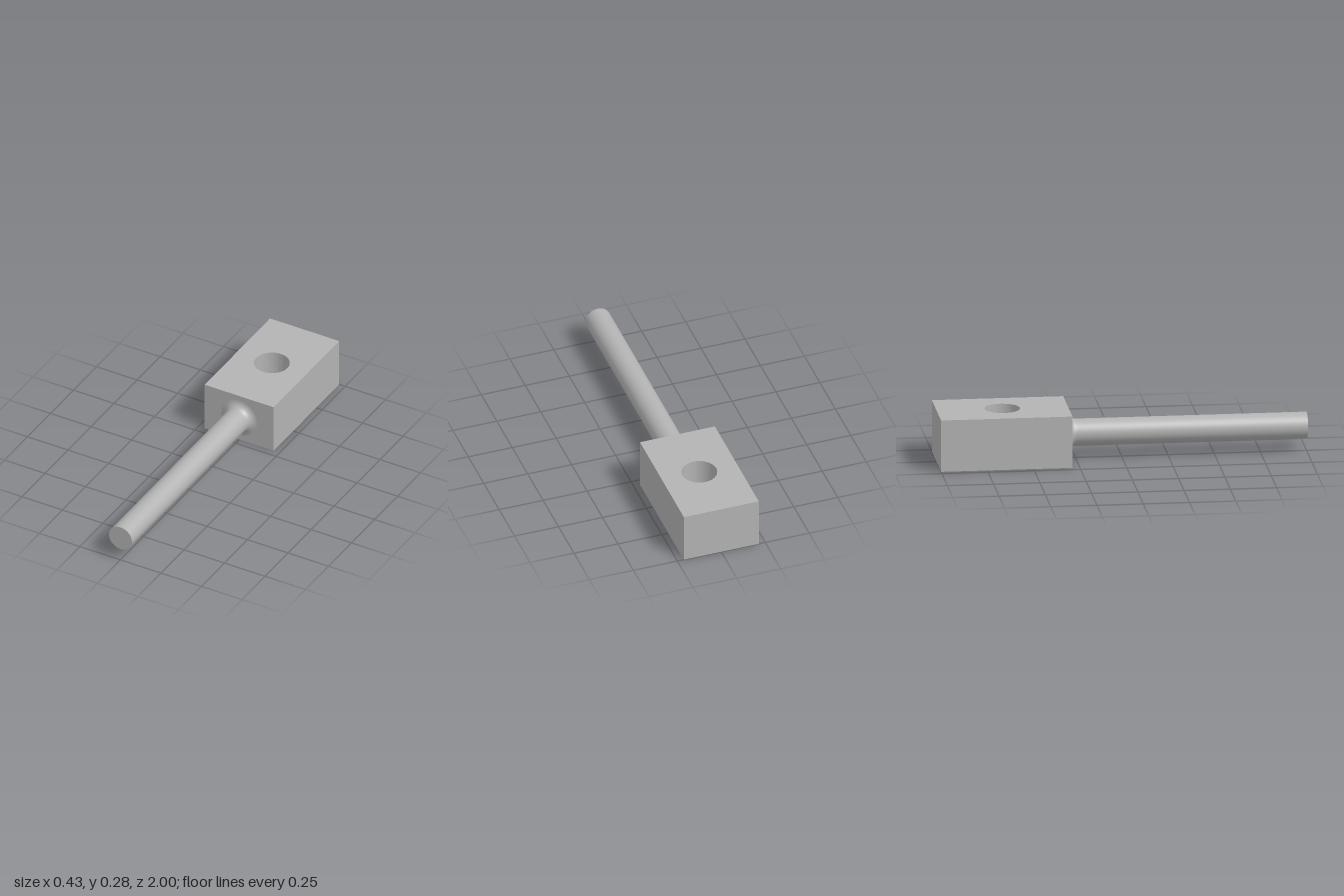
import * as THREE from 'three';
import { toCreasedNormals } from 'three/addons/utils/BufferGeometryUtils.js';

const HALF_WIDTH = 0.213, HEIGHT = 0.285;
const BACK = -1, SHOULDER = -0.29, TIP = 1;
const ROD_RADIUS = 0.071, FILLET = 0.043, HOLE_RADIUS = 0.096;

export function createModel() {
  const model = new THREE.Group();
  model.name = 'rodEnd';
  const steel = new THREE.MeshStandardMaterial({ color: 0xb3b3b3 });
  steel.name = 'grey steel';

  const add = (name, geometry, parent = model) => {
    const mesh = new THREE.Mesh(geometry, steel);
    mesh.name = name;
    parent.add(mesh);
    return mesh;
  };

  // Block with a vertical through hole, drawn in plan and extruded in height
  const plan = new THREE.Shape();
  plan.moveTo(-HALF_WIDTH, BACK);
  plan.lineTo(HALF_WIDTH, BACK);
  plan.lineTo(HALF_WIDTH, SHOULDER);
  plan.lineTo(-HALF_WIDTH, SHOULDER);
  plan.closePath();
  const hole = new THREE.Path();
  hole.absarc(0, (BACK + SHOULDER) / 2, HOLE_RADIUS, 0, Math.PI * 2, true);
  plan.holes.push(hole);
  const block = new THREE.ExtrudeGeometry(plan, {
    depth: HEIGHT, bevelEnabled: false, curveSegments: 64,
  });
  block.rotateX(Math.PI / 2).translate(0, HEIGHT, 0);
  add('block', toCreasedNormals(block, 0.5));

  // Round rod flaring into the block through a concave fillet
  const rod = new THREE.Group();
  rod.name = 'rod';
  rod.position.y = HEIGHT / 2;
  model.add(rod);
  const profile = [];
  for (let i = 0; i <= 12; i++) {
    const a = (i / 12) * Math.PI / 2;
    profile.push(new THREE.Vector2(
      ROD_RADIUS + FILLET * (1 - Math.sin(a)),
      SHOULDER + FILLET * (1 - Math.cos(a)),
    ));
  }
  profile.push(new THREE.Vector2(ROD_RADIUS, SHOULDER + FILLET + 0.01));
  profile.push(new THREE.Vector2(ROD_RADIUS, TIP));
  add('shaft', new THREE.LatheGeometry(profile, 64).rotateX(Math.PI / 2), rod);

  // Flat end face of the rod
  add('shaftEnd', new THREE.CircleGeometry(ROD_RADIUS, 64), rod).position.z = TIP;

  return model;
}
